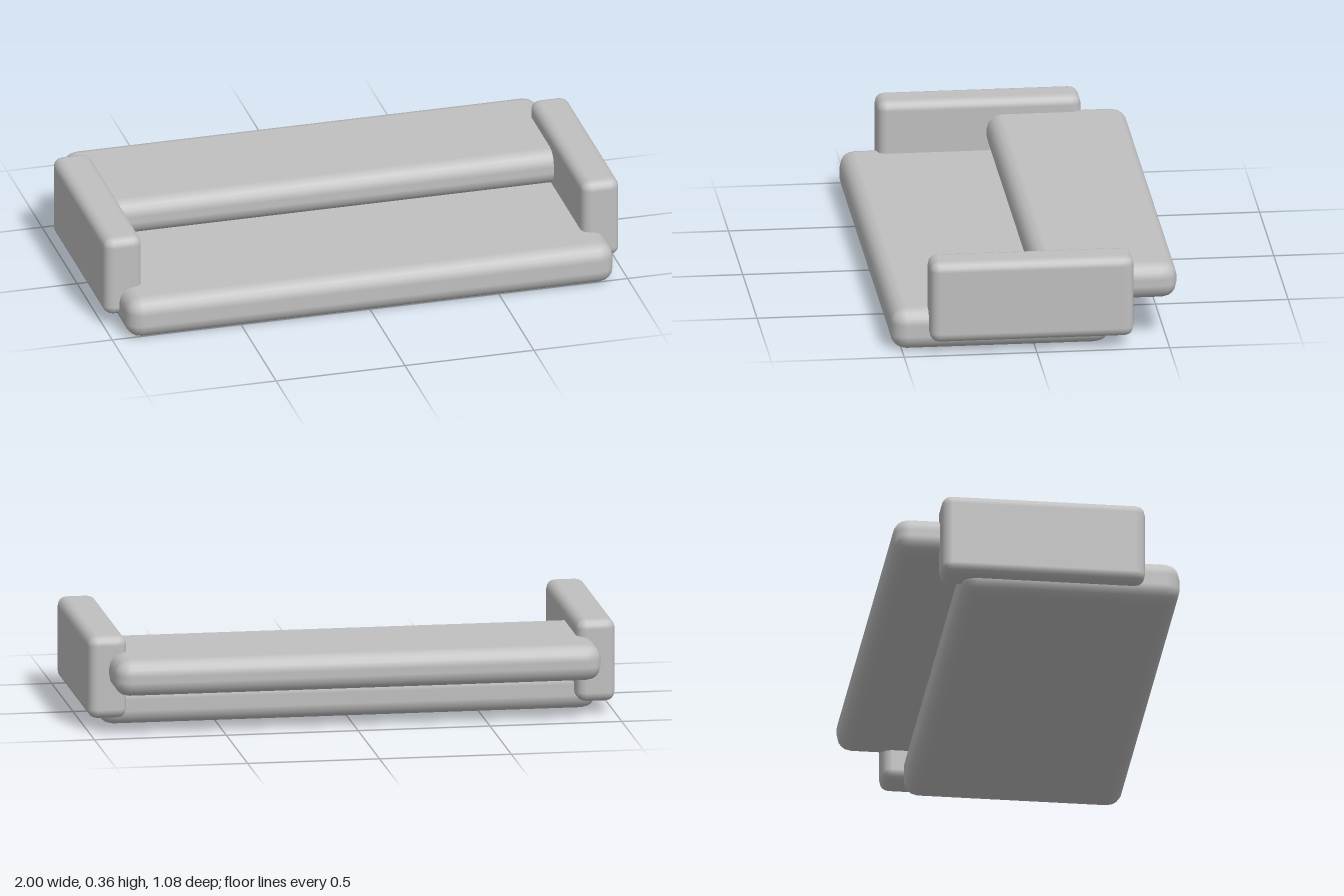
import * as THREE from 'three';
import { RoundedBoxGeometry } from 'three/addons/geometries/RoundedBoxGeometry.js';

export function createModel() {
  const group = new THREE.Group();
  const fabric = new THREE.MeshStandardMaterial({ color: 0xc0c0c0 });
  fabric.name = 'light grey fabric';

  // Soft block spanning the given ranges on x, y and z
  function cushion(name, [x0, x1], [y0, y1], [z0, z1], radius) {
    const geometry = new RoundedBoxGeometry(x1 - x0, y1 - y0, z1 - z0, 2, radius);
    const mesh = new THREE.Mesh(geometry, fabric);
    mesh.name = name;
    mesh.position.set((x0 + x1) / 2, (y0 + y1) / 2, (z0 + z1) / 2);
    group.add(mesh);
  }

  // Seat mattress and the folded-down backrest overlapping its rear
  cushion('seat', [-0.945, 0.945], [0, 0.16], [-0.286, 0.54], 0.058);
  cushion('backrest', [-0.923, 0.923], [0.16, 0.3], [-0.54, -0.01], 0.058);

  // Mirrored armrests
  cushion('leftArmrest', [0.853, 1], [0.046, 0.362], [-0.367, 0.4], 0.036);
  cushion('rightArmrest', [-1, -0.853], [0.046, 0.362], [-0.367, 0.4], 0.036);

  return group;
}
